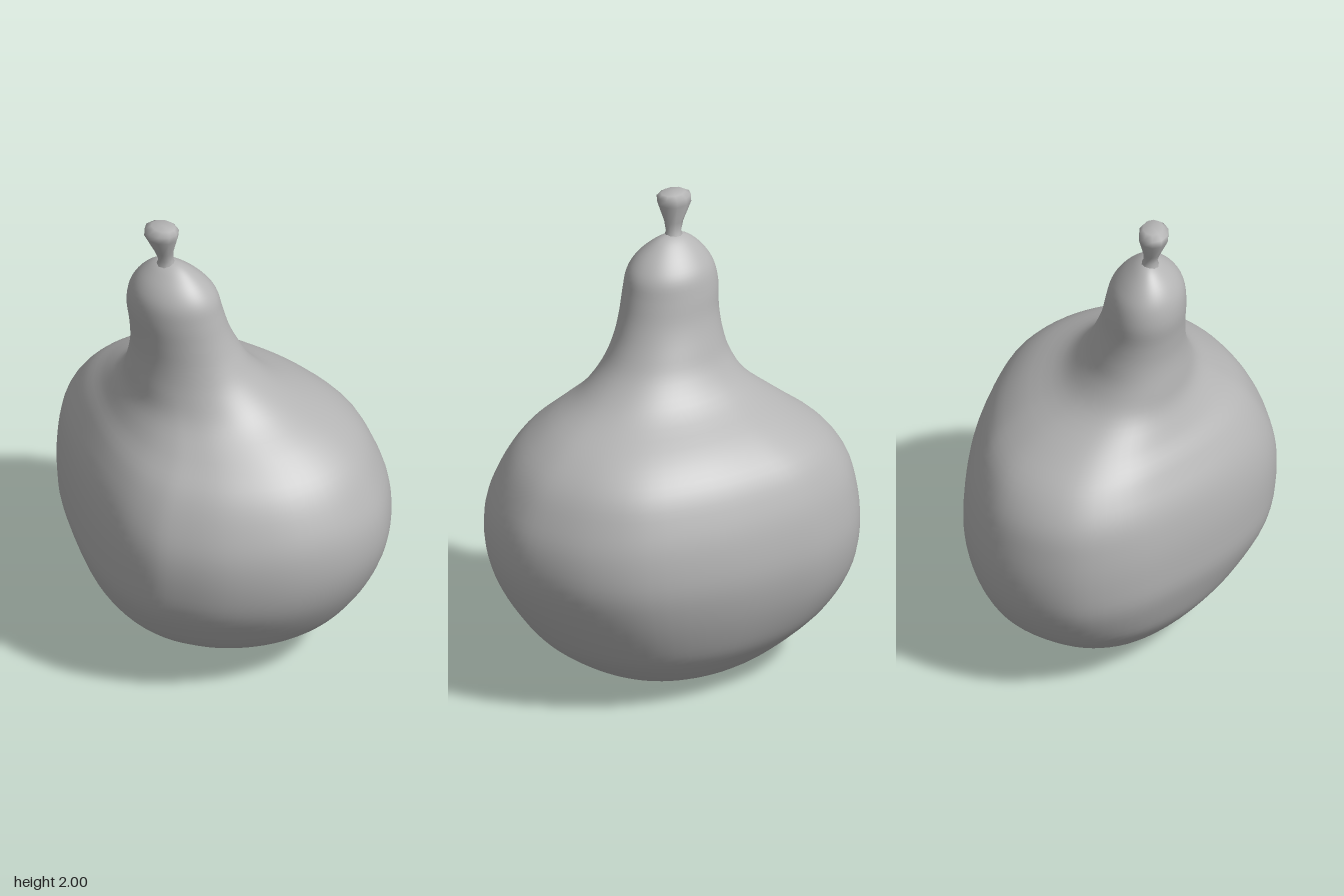
import * as THREE from 'three';
import { mergeVertices } from 'three/addons/utils/BufferGeometryUtils.js';

// Lopsided plan outline of the belly, scaled to the unit square (x, z)
const BELLY = [
  [1, -0.03], [0.95, 0.29], [0.79, 0.6], [0.53, 0.85], [0.27, 0.97], [0.09, 1], [-0.13, 0.94],
  [-0.39, 0.76], [-0.66, 0.48], [-0.89, 0.16], [-1, -0.2], [-0.95, -0.54], [-0.79, -0.81],
  [-0.53, -0.96], [-0.26, -1], [0.13, -0.98], [0.53, -0.85], [0.79, -0.61], [0.95, -0.3],
];

// Sections: y, xMin, xMax, zMin, zMax
const BODY = [
  [0, -0.08, -0.08, -0.01, -0.01],
  [0.018, -0.25, 0.14, -0.18, 0.13],
  [0.05, -0.35, 0.27, -0.3, 0.22],
  [0.1, -0.45, 0.38, -0.38, 0.3],
  [0.2, -0.575, 0.52, -0.475, 0.42],
  [0.3, -0.665, 0.61, -0.535, 0.505],
  [0.45, -0.738, 0.7, -0.59, 0.59],
  [0.6, -0.76, 0.75, -0.615, 0.615],
  [0.75, -0.752, 0.75, -0.602, 0.61],
  [0.88, -0.72, 0.705, -0.565, 0.57],
  [1, -0.635, 0.63, -0.505, 0.5],
  [1.1, -0.515, 0.51, -0.4, 0.4],
  [1.2, -0.395, 0.335, -0.24, 0.315],
  [1.3, -0.34, 0.22, -0.155, 0.28],
  [1.4, -0.315, 0.155, -0.11, 0.265],
  [1.5, -0.31, 0.115, -0.075, 0.265],
  [1.6, -0.317, 0.09, -0.055, 0.27],
  [1.68, -0.303, 0.07, -0.035, 0.262],
  [1.74, -0.27, 0.027, 0.005, 0.232],
  [1.79, -0.222, -0.035, 0.055, 0.184],
  [1.815, -0.18, -0.085, 0.092, 0.147],
  [1.822, -0.135, -0.135, 0.12, 0.12],
];

const STEM = [
  [1.8, -0.185, -0.1, 0.085, 0.165],
  [1.83, -0.174, -0.11, 0.1, 0.156],
  [1.87, -0.187, -0.107, 0.1, 0.169],
  [1.95, -0.227, -0.083, 0.082, 0.203],
  [1.98, -0.226, -0.08, 0.082, 0.203],
  [1.996, -0.2, -0.095, 0.098, 0.18],
  [2, -0.15, -0.15, 0.14, 0.14],
];

// Smooth extra sections between the given ones
function refine(rows, steps) {
  const curve = (a, b) => new THREE.CatmullRomCurve3(
    rows.map(r => new THREE.Vector3(r[a], r[0], r[b])), false, 'catmullrom');
  const xs = curve(1, 2), zs = curve(3, 4), n = (rows.length - 1) * steps;
  return Array.from({ length: n + 1 }, (_, i) => {
    const p = xs.getPoint(i / n), q = zs.getPoint(i / n);
    return [Math.max(0, p.y), p.x, p.z, q.x, q.z];
  });
}

// Skin through sections; outline(y, u) gives a point in the unit square
function loft(rows, sides, outline) {
  const pos = [], index = [];
  rows.forEach(([y, x0, x1, z0, z1]) => {
    for (let j = 0; j < sides; j++) {
      const p = outline(y, j / sides);
      pos.push((x0 + x1) / 2 + p.x * (x1 - x0) / 2, y, (z0 + z1) / 2 + p.y * (z1 - z0) / 2);
    }
  });
  for (let i = 0; i < rows.length - 1; i++) {
    for (let j = 0; j < sides; j++) {
      const k = (j + 1) % sides;
      const a = i * sides + j, b = i * sides + k, c = a + sides, d = b + sides;
      index.push(a, c, b, b, c, d);
    }
  }
  const geo = new THREE.BufferGeometry();
  geo.setAttribute('position', new THREE.Float32BufferAttribute(pos, 3));
  geo.setIndex(index);
  const merged = mergeVertices(geo, 1e-5);
  merged.computeVertexNormals();
  return merged;
}

export function createModel() {
  const group = new THREE.Group();
  group.name = 'gourd';
  const grey = new THREE.MeshStandardMaterial({ color: 0xb4b4b4 });
  grey.name = 'grey';

  // Body: lopsided belly that turns round towards the base and the neck
  const belly = new THREE.CatmullRomCurve3(
    BELLY.map(([x, z]) => new THREE.Vector3(x, 0, z)), true, 'catmullrom');
  const bodyOutline = (y, u) => {
    const p = belly.getPoint(u);
    const flat = new THREE.Vector2(p.x, p.z);
    const round = Math.max(THREE.MathUtils.smoothstep(y, 0.95, 1.35),
      1 - THREE.MathUtils.smoothstep(y, -0.2, 0.45));
    return flat.clone().lerp(flat.clone().normalize(), round);
  };
  const body = new THREE.Mesh(loft(refine(BODY, 4), 76, bodyOutline), grey);
  body.name = 'body';

  // Stem: small flared stalk with a blunt cap
  const circle = (y, u) => new THREE.Vector2(Math.cos(u * 2 * Math.PI), Math.sin(u * 2 * Math.PI));
  const stem = new THREE.Mesh(loft(STEM, 10, circle), grey);
  stem.name = 'stem';

  group.add(body, stem);
  return group;
}
